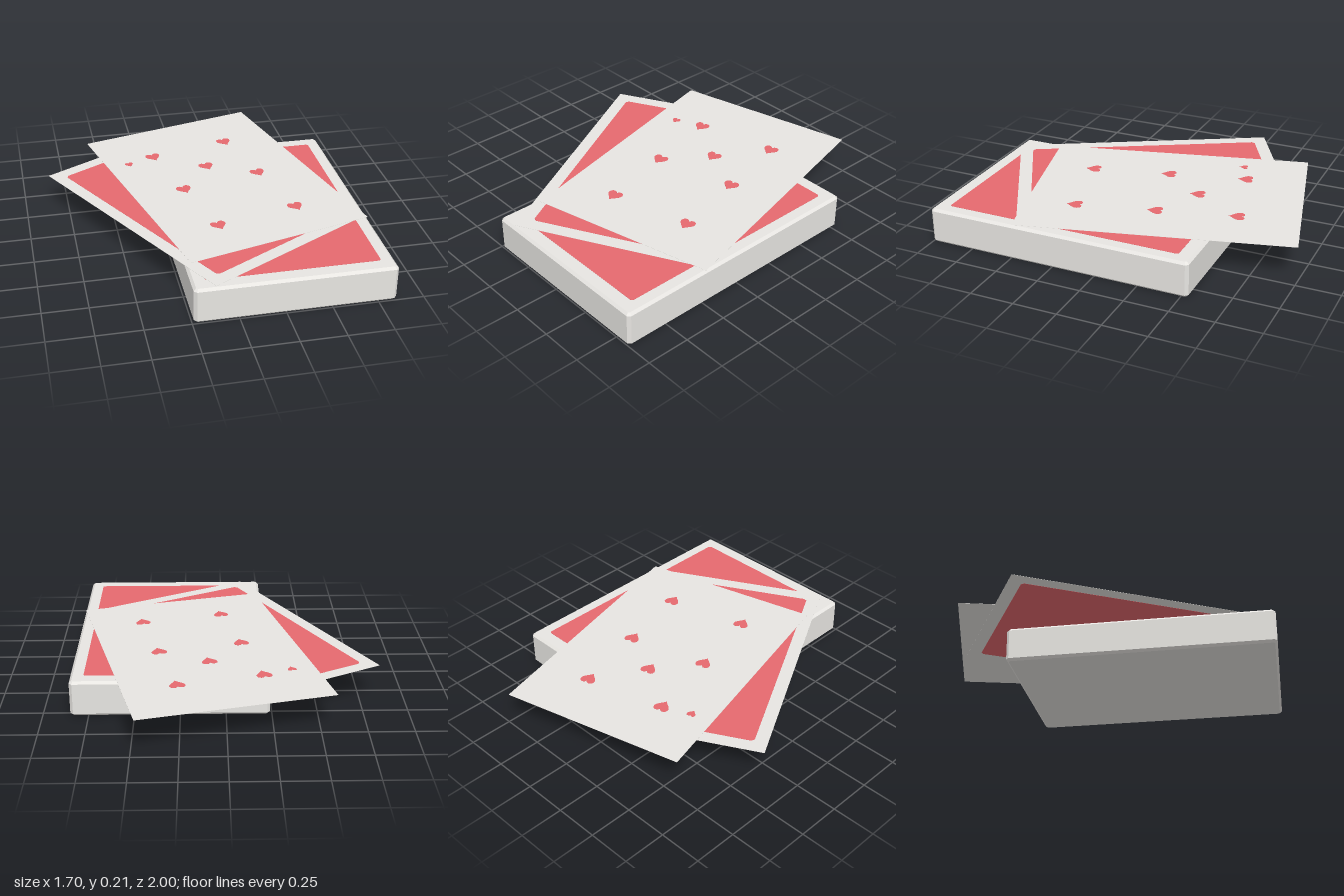
import * as THREE from 'three';

const CARD_W = 1.09, CARD_L = 1.53;

// Rectangle with slightly clipped corners
function clippedRect(w, l, c) {
  const x = w / 2, y = l / 2;
  return new THREE.Shape([
    [-x + c, -y], [x - c, -y], [x, -y + c], [x, y - c],
    [x - c, y], [-x + c, y], [-x, y - c], [-x, -y + c],
  ].map(([a, b]) => new THREE.Vector2(a, b)));
}

// Heart about one unit across, with its tip towards -y
function heart(size) {
  const s = new THREE.Shape(), k = size;
  s.moveTo(0, -0.55 * k);
  s.bezierCurveTo(0.12 * k, -0.3 * k, 0.52 * k, -0.1 * k, 0.5 * k, 0.18 * k);
  s.bezierCurveTo(0.48 * k, 0.5 * k, 0.1 * k, 0.55 * k, 0, 0.26 * k);
  s.bezierCurveTo(-0.1 * k, 0.55 * k, -0.48 * k, 0.5 * k, -0.5 * k, 0.18 * k);
  s.bezierCurveTo(-0.52 * k, -0.1 * k, -0.12 * k, -0.3 * k, 0, -0.55 * k);
  return s;
}

// Flat plate lying on the xz plane, centred in its thickness
function plate(name, shape, thickness, material) {
  const g = new THREE.ExtrudeGeometry(shape, { depth: thickness, bevelEnabled: false, curveSegments: 6 });
  g.translate(0, 0, -thickness / 2);
  g.rotateX(-Math.PI / 2);
  const m = new THREE.Mesh(g, material);
  m.name = name;
  return m;
}

export function createModel() {
  const white = new THREE.MeshStandardMaterial({ name: 'cardWhite', color: 0xf8f6f2 });
  const red = new THREE.MeshStandardMaterial({ name: 'cardRed', color: 0xe6696f });
  const model = new THREE.Group();
  model.name = 'cardDeck';

  // Deck: a block with every edge chamfered
  const deck = new THREE.Group();
  deck.name = 'deck';
  deck.position.set(0.305, 0, 0.23);
  const bevel = 0.014, height = 0.204;
  const block = new THREE.ExtrudeGeometry(clippedRect(1.09 - 2 * bevel, 1.54 - 2 * bevel, 0.008), {
    depth: height - 2 * bevel, bevelEnabled: true, bevelSegments: 1,
    bevelSize: bevel, bevelThickness: bevel,
  });
  block.translate(0, 0, bevel);
  block.rotateX(-Math.PI / 2);
  const blockMesh = new THREE.Mesh(block, white);
  blockMesh.name = 'deckBlock';
  const deckPanel = plate('deckBackPanel', clippedRect(0.942, 1.374, 0.01), 0.002, red);
  deckPanel.position.y = height;
  deck.add(blockMesh, deckPanel);

  // Loose cards lying on the deck
  function card(name, x, y, z, angle) {
    const g = new THREE.Group();
    g.name = name;
    g.position.set(x, y, z);
    g.rotation.y = angle;
    g.add(plate(name + 'Sheet', clippedRect(CARD_W, CARD_L, 0.002), 0.001, white));
    model.add(g);
    return g;
  }

  // Face-down card: red panel showing on both sides
  const faceDown = card('faceDownCard', -0.01, 0.207, 0.052, 0.499);
  faceDown.add(plate('cardBackPanel', clippedRect(0.942, 1.38, 0.015), 0.0024, red));

  // Face-up card: heart pips as [x, z, size]
  const faceUp = card('faceUpCard', 0.133, 0.21, -0.123, 0.248);
  const pips = [
    [-0.243, -0.42, 0.088], [0.243, -0.42, 0.088], [0, -0.172, 0.088],
    [-0.243, 0.032, 0.088], [0.243, 0.032, 0.088],
    [-0.243, 0.484, 0.088], [0.243, 0.484, 0.088],
    [-0.413, -0.392, 0.05],
  ];
  for (const [x, z, size] of pips) {
    const pip = plate('heartPip', heart(size), 0.0024, red);
    pip.position.set(x, 0, z);
    faceUp.add(pip);
  }

  model.add(deck);
  return model;
}
